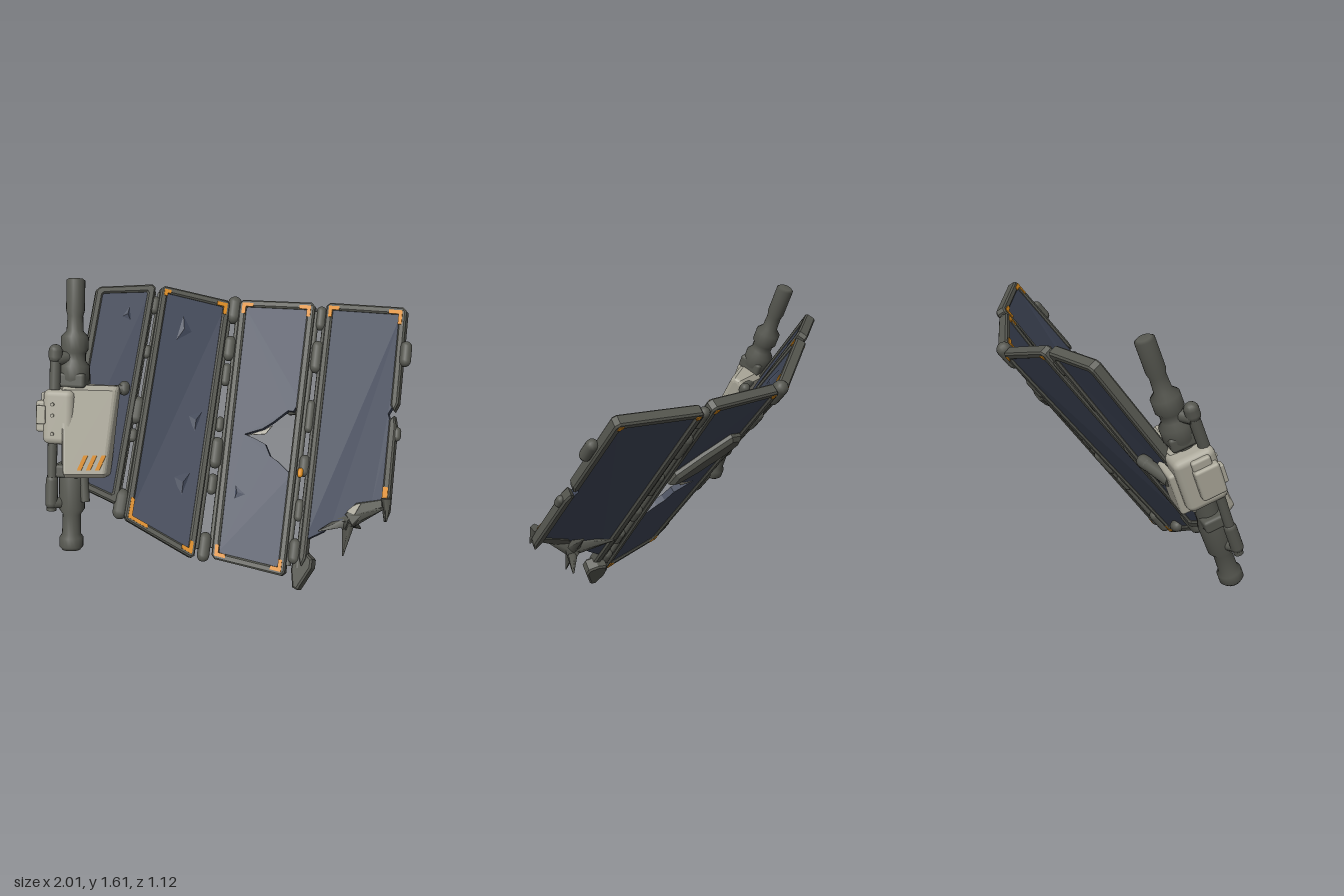
import * as THREE from 'three';
import { RoundedBoxGeometry } from 'three/addons/geometries/RoundedBoxGeometry.js';

const mat = (name, color, side = THREE.FrontSide) => Object.assign(new THREE.MeshStandardMaterial({ color, side }), { name });
const V = (x, y, z) => new THREE.Vector3(x, y, z);

export function createModel() {
  const root = new THREE.Group();
  root.name = 'brokenFoldingPanel';
  const metal = mat('dark metal', 0x55564f);
  const cell = mat('panel blue', 0x3f4657, THREE.DoubleSide);
  const shell = mat('pale shell', 0xa9a698);
  const orange = mat('orange marking', 0xd98a1c, THREE.DoubleSide);

  const add = (parent, name, geo, m) => {
    const mesh = new THREE.Mesh(geo, m);
    mesh.name = name;
    parent.add(mesh);
    return mesh;
  };
  // Places a shape that stands along y so that it runs from a to b
  const align = (o, a, b) => {
    o.position.copy(a).lerp(b, 0.5);
    o.quaternion.setFromUnitVectors(V(0, 1, 0), b.clone().sub(a).normalize());
    return o;
  };
  const rod = (name, a, b, r0, r1 = r0, sides = 14) =>
    align(add(root, name, new THREE.CylinderGeometry(r1, r0, a.distanceTo(b), sides), metal), a, b);
  const pill = (name, a, b, r, m = metal) =>
    align(add(root, name, new THREE.CapsuleGeometry(r, Math.max(0.005, a.distanceTo(b) - 2 * r), 4, 12), m), a, b);

  // Each panel maps flat shapes (s right, t down, h outwards) onto its four corners
  function makePanel(name, tl, tr, bl, br) {
    const g = new THREE.Group();
    g.name = name;
    root.add(g);
    const W = (tl.distanceTo(tr) + bl.distanceTo(br)) / 2;
    const L = (tl.distanceTo(bl) + tr.distanceTo(br)) / 2;
    const n = tr.clone().sub(tl).cross(tl.clone().sub(bl)).normalize();
    const at = (u, v, h = 0) => tl.clone().lerp(tr, u).lerp(bl.clone().lerp(br, u), v).addScaledVector(n, h);
    const points = (pts) => pts.map(([s, t]) => new THREE.Vector2(s, -t));
    const plate = (part, pts, h0, h1, m, bevel = 0, hole = null) => {
      const shape = new THREE.Shape(points(pts));
      if (hole) shape.holes.push(new THREE.Path(points(hole).reverse()));
      const geo = new THREE.ExtrudeGeometry(shape, {
        depth: h1 - h0 - 2 * bevel, bevelEnabled: bevel > 0, bevelThickness: bevel,
        bevelSize: bevel, bevelOffset: -bevel, bevelSegments: 1 });
      const p = geo.attributes.position;
      for (let i = 0; i < p.count; i++) {
        const q = at(p.getX(i) / W, -p.getY(i) / L, p.getZ(i) + h0 + bevel);
        p.setXYZ(i, q.x, q.y, q.z);
      }
      geo.computeVertexNormals();
      return add(g, part, geo, m);
    };
    const uv = (pts) => pts.map(([u, v]) => [u * W, v * L]);
    // L-shaped marking on the inside of a frame corner, smaller on the back
    const corner = (right, bottom, len = 0.085) => {
      const mark = (l, w) => [[0.02, 0.02], [l, 0.02], [l, 0.02 + w], [0.02 + w, 0.02 + w], [0.02 + w, l], [0.02, l]]
        .map(([s, t]) => [right ? W - s : s, bottom ? L - t : t]);
      plate('cornerMark', mark(len, 0.022), -0.001, 0.004, orange);
      plate('cornerMarkBack', mark(bottom ? 0.065 : 0.045, 0.016), -0.066, -0.061, orange);
    };
    // Shallow dent facets in the sheet
    const dent = (u, v, size, turn) => {
      const c = add(g, 'dent', new THREE.ConeGeometry(size, 0.012, 3).toNonIndexed().rotateY(turn), cell);
      c.geometry.computeVertexNormals();
      c.scale.x = 0.55;
      c.position.copy(at(u, v, -0.01));
      c.quaternion.setFromUnitVectors(V(0, 1, 0), n);
    };
    return { g, W, L, at, plate, uv, corner, dent };
  }
  const F = 0.042, T = 0.062, S0 = -0.05, S1 = -0.013;
  const box = (W, L, e, c) => [[e + c, e], [W - e - c, e], [W - e, e + c], [W - e, L - e - c],
    [W - e - c, L - e], [e + c, L - e], [e, L - e - c], [e, e + c]];
  const wholeFrame = (p) => p.plate('frame', box(p.W, p.L, 0, 0.02), -T, 0, metal, 0.009, box(p.W, p.L, F, 0.008));

  const p1 = makePanel('panelOuterRight', V(-0.76, 1.5, -0.205), V(-0.445, 1.485, -0.34), V(-0.85, 0.62, 0.44), V(-0.555, 0.45, 0.41));
  const p2 = makePanel('panelInnerRight', V(-0.415, 1.475, -0.355), V(-0.03, 1.35, -0.485), V(-0.51, 0.4, 0.465), V(-0.125, 0.16, 0.465));
  const p3 = makePanel('panelInnerLeft', V(0.02, 1.36, -0.49), V(0.465, 1.39, -0.4), V(-0.04, 0.145, 0.42), V(0.375, 0.1, 0.48));
  const p4 = makePanel('panelOuterLeft', V(0.53, 1.39, -0.41), V(0.968, 1.435, -0.245), V(0.44, 0.1, 0.5), V(0.885, 0.175, 0.725));

  // Whole panels
  for (const p of [p1, p2]) {
    wholeFrame(p);
    p.plate('sheet', box(p.W, p.L, 0.025, 0.002), S0, S1, cell);
  }
  // Torn inner panel with a jagged bite
  wholeFrame(p3);
  p3.plate('tornSheet', p3.uv([[0.06, 0.02], [0.94, 0.02], [0.94, 0.37], [0.87, 0.41], [0.8, 0.41], [0.62, 0.46], [0.49, 0.49],
    [0.26, 0.52], [0.4, 0.53], [0.55, 0.545], [0.63, 0.585], [0.74, 0.6], [0.94, 0.64], [0.94, 0.98], [0.06, 0.98]]), S0, S1, cell);
  p3.plate('bentFlap', p3.uv([[0.28, 0.52], [0.5, 0.49], [0.6, 0.47], [0.52, 0.505]]), -0.05, -0.042, shell);
  // Crumpled strip folded up behind the bite
  p3.plate('crumpledStrip', p3.uv([[0.12, 0.23], [0.3, 0.215], [0.62, 0.29], [0.9, 0.36], [0.93, 0.41], [0.8, 0.42],
    [0.5, 0.385], [0.2, 0.32], [0.08, 0.27]]), -0.095, -0.036, metal, 0.02);

  // Outer panel with its lower end ripped off
  const { W, L } = p4;
  p4.plate('brokenFrame', [[0.02, 0], [W - 0.02, 0], [W, 0.02], [W, L * 0.34], [W - 0.02, L * 0.37], [W - F, L * 0.35], [W - F, F],
    [F, F], [F, L * 0.92], [0.02, L * 0.95], [0, L * 0.92], [0, 0.02]], -T, 0, metal, 0.009);
  p4.plate('frameStub', [[W - F, L * 0.4], [W - 0.015, L * 0.385], [W, L * 0.42], [W, L * 0.71], [W - 0.02, L * 0.745], [W - F, L * 0.69]], -T, 0, metal, 0.009);
  p4.plate('tornSheet', p4.uv([[0.06, 0.02], [0.94, 0.02], [0.94, 0.35], [0.89, 0.38], [0.94, 0.42], [0.94, 0.69], [0.8, 0.69],
    [0.68, 0.72], [0.55, 0.745], [0.46, 0.77], [0.36, 0.78], [0.25, 0.82], [0.05, 0.86]]), S0, S1, cell);
  p4.plate('rippedEdge', p4.uv([[0.5, 0.745], [0.62, 0.7], [0.94, 0.67], [0.94, 0.7], [0.72, 0.735], [0.6, 0.78]]), -0.055, -0.008, metal, 0.006);
  p4.plate('curledEdge', p4.uv([[0.52, 0.735], [0.6, 0.71], [0.68, 0.7], [0.62, 0.74]]), -0.008, -0.002, shell);
  p4.plate('brokenFoot', [[-0.02, L * 0.9], [0.03, L * 0.9], [0.075, L * 0.92], [0.075, L * 0.95], [0.005, L * 1.035], [-0.025, L * 1.03],
    [-0.045, L * 0.97], [-0.04, L * 0.93]], -0.1, -0.02, metal, 0.01);
  p4.plate('sideMark', [[W - 0.04, L * 0.63], [W - 0.01, L * 0.63], [W - 0.01, L * 0.675], [W - 0.04, L * 0.675]], -0.001, 0.004, orange);

  for (const [p, list] of [[p2, [[0, 0, 0.06], [1, 0], [0, 1, 0.14], [1, 1]]], [p3, [[0, 0], [1, 0], [0, 1], [1, 1]]], [p4, [[0, 0], [1, 0, 0.1]]]])
    for (const [r, b, len] of list) p.corner(r, b, len);
  for (const [p, u, v, s, turn] of [[p1, 0.6, 0.14, 0.07, 1], [p2, 0.4, 0.16, 0.1, 1.6], [p2, 0.7, 0.75, 0.1, 0.4], [p2, 0.75, 0.5, 0.08, 2.5],
    [p3, 0.25, 0.74, 0.09, 1.4]]) p.dent(u, v, s, turn);

  // Hinge knuckles and thin rails in the three gaps: [start, end, radius] along the gap
  const hinges = [
    [p1, p2, 0.008, [[0.05, 0.13, 0.026], [0.27, 0.33, 0.022], [0.5, 0.62, 0.035], [0.64, 0.7, 0.024], [0.9, 1.03, 0.042]]],
    [p2, p3, 0.017, [[-0.02, 0.09, 0.042], [0.14, 0.24, 0.036], [0.25, 0.34, 0.026], [0.46, 0.52, 0.024], [0.54, 0.66, 0.036], [0.68, 0.76, 0.028], [0.9, 1.01, 0.036]]],
    [p3, p4, 0.017, [[0.01, 0.1, 0.03], [0.14, 0.26, 0.036], [0.36, 0.48, 0.026], [0.56, 0.64, 0.032], [0.72, 0.8, 0.026], [0.86, 0.95, 0.034]]],
  ];
  for (const [a, b, rail, list] of hinges) {
    const between = (v, k) => a.at(1, v, -0.035).lerp(b.at(0, v, -0.035), k);
    for (const [v0, v1, r] of list) pill('hingeKnuckle', between(v0, 0.5), between(v1, 0.5), r);
    for (const k of [0.1, 0.9]) rod('hingeRail', between(0.03, k), between(0.96, k), rail, rail, 8);
  }
  pill('hingeMark', p3.at(1.06, 0.61, 0), p3.at(1.06, 0.645, 0), 0.016, orange);

  // Latch lugs on the outer edge and the back
  pill('edgeLug', p4.at(1.03, 0.12, -0.015), p4.at(1.03, 0.21, -0.015), 0.032);
  pill('edgeLugSmall', p4.at(1.0, 0.42, -0.03), p4.at(1.0, 0.47, -0.03), 0.024);
  pill('backLatch', p2.at(0.45, 0.96, -0.06), p2.at(0.65, 0.96, -0.06), 0.035);

  // Splayed metal shards below the torn end
  const hub = V(0.71, 0.41, 0.35);
  for (const [x, y, z, r] of [[0.69, 0.23, 0.43, 0.045], [0.785, 0.31, 0.27, 0.045], [0.54, 0.44, 0.18, 0.055],
    [0.76, 0.54, 0.2, 0.05], [0.89, 0.55, 0.43, 0.055], [0.55, 0.36, 0.4, 0.045]])
    rod('shard', hub.clone().lerp(V(x, y, z), -0.12), V(x, y, z), r, 0.004, 5);
  rod('frameEndSpike', V(0.9, 0.6, 0.41), V(0.905, 0.49, 0.46), 0.03, 0.004, 5);

  // Main strut, turned along its sloping axis
  const top = V(-0.82, 1.605, -0.015), foot = V(-0.81, 0.21, 0.515), len = top.distanceTo(foot);
  const profile = [[0, 0], [0.05, 0], [0.066, 0.02], [0.066, 0.07], [0.052, 0.09], [0.05, 0.2], [0.07, 0.23], [0.074, 0.4],
    [0.062, 0.45], [0.062, 0.9], [0.084, 0.95], [0.084, 1.02], [0.06, 1.05], [0.06, 1.09], [0.074, 1.11], [0.074, 1.18], [0.046, 1.21],
    [0.042, 1.29], [0.05, 1.32], [0.05, len - 0.01], [0.036, len], [0, len]].map(([r, y]) => new THREE.Vector2(r, y - len / 2));
  align(add(root, 'mainStrut', new THREE.LatheGeometry(profile, 20), metal), foot, top);

  // Strut housing, tilted with the strut; its front recedes towards +x
  const h = new THREE.Group();
  h.name = 'strutHousing';
  h.position.set(-0.815, 0.86, 0.268);
  h.rotation.x = -0.35;
  root.add(h);
  const recede = (x) => 0.32 * (x + 0.05);
  const side = new THREE.Shape([[-0.09, 0.2], [-0.06, 0.225], [0.07, 0.225], [0.095, 0.2], [0.16, -0.25], [0.13, -0.275], [0.04, -0.28], [-0.07, -0.18]]
    .map(([z, y]) => new THREE.Vector2(-z, y)));
  const cover = new THREE.ExtrudeGeometry(side, { depth: 0.25, bevelThickness: 0.025, bevelSize: 0.025, bevelOffset: -0.025, bevelSegments: 3 });
  cover.translate(0, 0, -0.125).rotateY(Math.PI / 2);
  const cp = cover.attributes.position;
  for (let i = 0; i < cp.count; i++) {
    const x = cp.getX(i) * (0.88 + 0.5 * cp.getY(i)) + 0.095;
    cp.setX(i, x);
    if (cp.getZ(i) > 0) cp.setZ(i, cp.getZ(i) - recede(x));
  }
  cover.computeVertexNormals();
  add(h, 'housingCover', cover, shell);
  const block = (name, x, y, z, w, hh, d, m) => add(h, name, new RoundedBoxGeometry(w, hh, d, 2, Math.min(w, hh, d) * 0.22), m).position.set(x, y, z);
  block('sideHousing', -0.06, 0.05, 0, 0.17, 0.3, 0.22, shell);
  block('sidePod', -0.15, 0.05, 0.03, 0.07, 0.17, 0.13, shell);
  block('podLid', -0.15, 0.06, 0.1, 0.05, 0.1, 0.03, shell);
  block('upperPod', -0.13, 0.15, 0.02, 0.07, 0.06, 0.1, shell);
  block('rearHousing', 0.0, 0.0, -0.1, 0.18, 0.24, 0.08, shell);
  block('rearClamp', 0.07, 0.05, -0.125, 0.1, 0.08, 0.08, metal);
  block('collar', 0, 0.25, 0, 0.15, 0.08, 0.15, metal);
  block('lowerCollar', -0.02, -0.25, 0.01, 0.15, 0.07, 0.13, metal);
  // Three slanted stripes near the foot of the cover
  for (let i = 0; i < 3; i++) {
    const x = 0.06 + i * 0.046;
    const s = new THREE.Shape([[x, -0.228], [x + 0.022, -0.228], [x + 0.052, -0.148], [x + 0.03, -0.148]].map(([a, b]) => new THREE.Vector2(a, b)));
    const g = new THREE.ExtrudeGeometry(s, { depth: 0.007, bevelEnabled: false });
    const p = g.attributes.position;
    for (let k = 0; k < p.count; k++) p.setZ(k, p.getZ(k) + 0.094 + (0.2 - p.getY(k)) * 0.1444 - recede(p.getX(k)));
    g.computeVertexNormals();
    add(h, 'stripe', g, orange);
  }
  for (const y of [0.12, 0.06, -0.04]) {
    const b = add(h, 'bolt', new THREE.CylinderGeometry(0.01, 0.01, 0.02, 8), shell);
    b.rotation.x = Math.PI / 2;
    b.position.set(-0.085, y, 0.11);
  }

  // Side cylinders and the arms that grip the panel
  rod('upperPiston', V(-0.9, 1.07, 0.27), V(-0.9, 1.25, 0.2), 0.03);
  pill('upperPistonCap', V(-0.9, 1.2, 0.22), V(-0.9, 1.3, 0.185), 0.038);
  rod('pistonBridge', V(-0.9, 1.22, 0.21), V(-0.82, 1.22, 0.14), 0.035);
  rod('lowerPiston', V(-0.91, 0.44, 0.49), V(-0.91, 0.8, 0.36), 0.026);
  pill('lowerPistonBody', V(-0.91, 0.45, 0.49), V(-0.91, 0.63, 0.42), 0.034);
  rod('lowerBridge', V(-0.91, 0.48, 0.48), V(-0.82, 0.46, 0.42), 0.03);
  rod('sidePiston', V(-0.73, 0.48, 0.44), V(-0.75, 0.68, 0.36), 0.025);
  rod('gripArm', V(-0.78, 1.0, 0.17), V(-0.57, 1.015, 0.1), 0.026);
  pill('gripArmTip', V(-0.565, 0.98, 0.11), V(-0.56, 1.05, 0.07), 0.032);
  rod('rearGripArm', V(-0.84, 0.87, 0.13), V(-0.68, 0.9, 0.06), 0.032);
  pill('rearGripTip', V(-0.72, 0.89, 0.08), V(-0.63, 0.91, 0.04), 0.036);
  return root;
}
